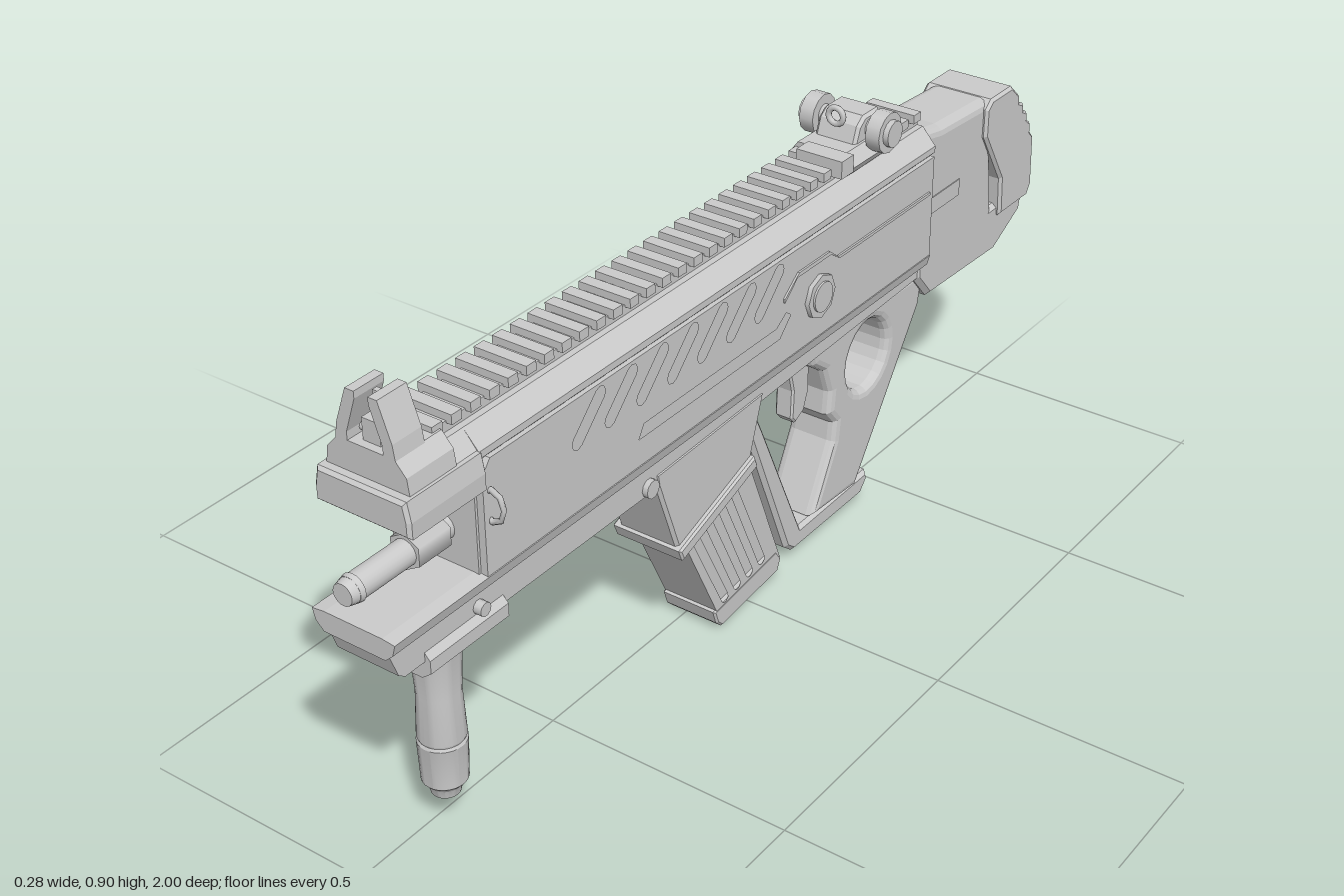
import * as THREE from 'three';
import { toCreasedNormals } from 'three/addons/utils/BufferGeometryUtils.js';

const CX = 0.022; // mid-plane of the body

export function createModel() {
  const root = new THREE.Group();
  root.position.x = CX;
  const model = new THREE.Group();
  model.add(root);
  const mat = new THREE.MeshStandardMaterial({ color: 0xcccccc });

  const add = (name, geo) => {
    const m = new THREE.Mesh(geo, mat);
    m.name = name;
    root.add(m);
    return m;
  };
  const box = (name, w, h, d, x, y, z) => {
    const m = add(name, new THREE.BoxGeometry(w, h, d));
    m.position.set(x, y, z);
    return m;
  };
  const extrude = (shape, depth, bevel) => new THREE.ExtrudeGeometry(shape, {
    depth: depth - 2 * bevel, bevelEnabled: bevel > 0, bevelThickness: bevel,
    bevelSize: bevel, bevelOffset: -bevel, bevelSegments: bevel > 0.015 ? 3 : 1,
  }).translate(0, 0, bevel);
  // Side profile of [z, y] points, from x0 to x1
  const side = (name, pts, x0, x1, { bevel = 0, holes = [] } = {}) => {
    const v = (list) => list.map(([z, y]) => new THREE.Vector2(-z, y));
    const s = new THREE.Shape(v(pts));
    holes.forEach((h) => s.holes.push(new THREE.Path(v(h))));
    return add(name, extrude(s, x1 - x0, bevel).rotateY(Math.PI / 2).translate(x0, 0, 0));
  };
  // Front profile of [x, y] points, from z0 to z1
  const front = (name, pts, z0, z1, bevel = 0) =>
    add(name, extrude(new THREE.Shape(pts.map((p) => new THREE.Vector2(...p))), z1 - z0, bevel).translate(0, 0, z0));
  const mirrored = (half) => [...half, ...half.map(([x, y]) => [-x, y]).reverse()];
  const rodZ = (name, r0, r1, z0, z1, y, n = 20, x = 0) => {
    const m = add(name, new THREE.CylinderGeometry(r1, r0, z1 - z0, n).rotateX(Math.PI / 2));
    m.position.set(x, y, (z0 + z1) / 2);
    return m;
  };
  const rodX = (name, r, len, x, y, z, n = 20) => {
    const m = add(name, new THREE.CylinderGeometry(r, r, len, n).rotateZ(Math.PI / 2));
    m.position.set(x, y, z);
    return m;
  };
  // Rounded slot outline between two [z, y] points
  const slot = ([z0, y0], [z1, y1], r) => {
    const a = Math.atan2(y1 - y0, z1 - z0), out = [];
    for (let i = 0; i < 10; i++) {
      const first = i < 5, t = a + Math.PI / 2 + ((first ? i : i - 1) / 4) * Math.PI;
      out.push([(first ? z0 : z1) + r * Math.cos(t), (first ? y0 : y1) + r * Math.sin(t)]);
    }
    return out;
  };

  // Body core with chamfered top
  front('body', mirrored([[0.07, 0.5], [0.07, 0.72], [0.085, 0.735], [0.085, 0.748], [0.055, 0.782]]), -0.575, 0.77);
  front('bodyTopFront', mirrored([[0.08, 0.7], [0.083, 0.748], [0.055, 0.782]]), 0.77, 0.85);

  // Side panels with slanted vents and a long groove
  const vents = [];
  for (let i = 0; i < 7; i++) {
    const z = 0.5 - i * 0.086;
    vents.push(slot([z + 0.032, 0.643], [z - 0.03, 0.705], 0.014));
  }
  const panel = [[0.765, 0.505], [0.765, 0.7], [0.745, 0.725], [-0.575, 0.725], [-0.575, 0.505]];
  const groove = [[0.37, 0.565], [0.355, 0.59], [-0.04, 0.59], [-0.07, 0.61], [-0.085, 0.6], [-0.05, 0.565]];
  for (const s of [-1, 1]) {
    side('sidePanel', panel, s > 0 ? 0.068 : -0.084, s > 0 ? 0.084 : -0.068, { holes: [...vents, groove] });
    rodX('pivotCollar', 0.044, 0.012, s * 0.087, 0.6, -0.175, 8);
    rodX('pivotButton', 0.03, 0.018, s * 0.088, 0.6, -0.175);
    side('panelTrim', [[-0.06, 0.635], [-0.1, 0.67], [-0.21, 0.67], [-0.24, 0.65], [-0.56, 0.65], [-0.56, 0.656],
      [-0.235, 0.656], [-0.205, 0.678], [-0.105, 0.678], [-0.06, 0.643]], s > 0 ? 0.083 : -0.088, s > 0 ? 0.088 : -0.083);
    box('rearInset', 0.006, 0.035, 0.13, s * 0.067, 0.605, -0.64);
    const ring = add('slingLoop', new THREE.TorusGeometry(0.024, 0.005, 6, 8));
    ring.scale.y = 1.25;
    ring.position.set(s * 0.088, 0.64, 0.75);
  }

  // Top rail
  box('topRail', 0.085, 0.022, 1.42, 0, 0.79, 0.135);
  for (let i = 0; i < 32; i++) box('topRailTooth', 0.108, 0.018, 0.024, 0, 0.806, 0.825 - i * 0.0445);

  // Front cap and iron sight
  front('frontCap', mirrored([[0.097, 0.685], [0.097, 0.715], [0.09, 0.75]]), 0.765, 0.945, 0.006);
  front('frontSightBase', mirrored([[0.085, 0.745], [0.08, 0.78], [0.058, 0.805]]), 0.82, 0.925);
  for (const s of [-1, 1])
    front('frontSightEar', [[0.062, 0.79], [0.056, 0.83], [0.032, 0.898], [0.014, 0.898], [0.014, 0.885], [0.036, 0.82], [0.036, 0.79]]
      .map(([x, y]) => [s * x, y]), 0.86, 0.925);
  box('frontSightBlock', 0.036, 0.05, 0.04, 0, 0.82, 0.89);
  rodX('frontSightPin', 0.008, 0.11, 0, 0.815, 0.89, 10);
  box('frontSightPost', 0.01, 0.06, 0.01, 0, 0.86, 0.89);

  // Rear sight
  front('rearSightBase', mirrored([[0.06, 0.785], [0.068, 0.8], [0.05, 0.825]]), -0.46, -0.3);
  box('rearSightLatch', 0.1, 0.035, 0.04, 0.02, 0.812, -0.285);
  side('rearSightBody', [[-0.34, 0.815], [-0.36, 0.87], [-0.38, 0.885], [-0.43, 0.885], [-0.445, 0.86], [-0.445, 0.815]], -0.045, 0.045, { bevel: 0.006 })
    .scale.y = 0.985;
  rodX('rearSightAxle', 0.02, 0.18, 0, 0.842, -0.4);
  for (const s of [-1, 1]) {
    rodX('rearSightKnob', 0.04, 0.03, s * 0.073, 0.842, -0.4, 12);
    rodX('rearSightKnobCap', 0.026, 0.018, s * 0.09, 0.842, -0.4, 12);
  }
  const aperture = add('rearSightAperture', new THREE.TorusGeometry(0.016, 0.006, 8, 16));
  aperture.position.set(0, 0.872, -0.35);

  // Barrel, gas plug and front plate bosses
  rodZ('barrel', 0.024, 0.024, 0.76, 0.985, 0.58);
  rodZ('muzzle', 0.026, 0.02, 0.975, 1, 0.58);
  rodZ('barrelCollar', 0.034, 0.034, 0.785, 0.86, 0.58, 6);
  rodZ('gasPlug', 0.02, 0.02, 0.76, 0.86, 0.652, 12);
  for (const [x, y] of [[-0.024, 0.652], [0.024, 0.652], [0, 0.638]]) rodZ('plateBoss', 0.021, 0.021, 0.765, 0.785, y, 16, x);

  // Lower handguard and shelf
  front('lowerShelf', mirrored([[0.064, 0.475], [0.08, 0.49], [0.086, 0.512], [0.06, 0.515]]), -0.575, 0.985);
  side('lowerHandguard', [[0.985, 0.5], [0.96, 0.43], [0.945, 0.42], [0.3, 0.42], [-0.02, 0.44], [-0.575, 0.458], [-0.575, 0.5]], -0.064, 0.064);
  for (let i = 0; i < 9; i++) box('lowerRailTooth', 0.09, 0.02, 0.024, 0, 0.412, 0.68 - i * 0.0405);
  rodX('handguardPin', 0.018, 0.15, 0, 0.435, 0.32, 10);

  // Side rail
  box('sideRail', 0.02, 0.075, 0.38, -0.092, 0.55, 0.57);
  for (let i = 0; i < 9; i++)
    front('sideRailTooth', [[-0.095, 0.495], [-0.108, 0.492], [-0.122, 0.505], [-0.122, 0.59], [-0.108, 0.6], [-0.095, 0.597]],
      0.735 - i * 0.0435, 0.76 - i * 0.0435);

  // Charging handle
  front('chargingHandle', [[-0.08, 0.602], [-0.132, 0.602], [-0.162, 0.568], [-0.162, 0.545], [-0.137, 0.545], [-0.117, 0.568], [-0.08, 0.568]], -0.145, -0.075, 0.004);
  box('chargingHandleSlide', 0.02, 0.08, 0.16, -0.088, 0.56, -0.15);

  // Foregrip with its clamp
  front('foregripMount', mirrored([[0.055, 0.385], [0.075, 0.4], [0.075, 0.425], [0.06, 0.442]]), 0.71, 0.9);
  rodX('foregripScrew', 0.013, 0.17, -0.005, 0.45, 0.77, 10);
  const gripProfile = [[0, 0.066], [0.026, 0.068], [0.03, 0.085], [0.041, 0.098], [0.044, 0.18], [0.041, 0.185], [0.043, 0.19],
    [0.039, 0.28], [0.043, 0.36], [0.048, 0.39], [0, 0.39]].map((p) => new THREE.Vector2(...p));
  add('foregrip', toCreasedNormals(new THREE.LatheGeometry(gripProfile, 28), 0.5)).position.z = 0.808;

  // Magazine well and magazine
  side('magazineWell', [[0.3, 0.45], [0.295, 0.42], [0.235, 0.25], [0.01, 0.335], [-0.03, 0.46]], -0.066, 0.066, { bevel: 0.006 });
  side('magazineWellLip', [[0.247, 0.262], [0.237, 0.237], [0.002, 0.318], [0.012, 0.343]], -0.077, 0.077, { bevel: 0.004 });
  const magazine = [[0.22, 0.27], [0.015, 0.335], [-0.1, 0.045], [-0.09, 0.022], [0.09, 0.004], [0.1, 0.02]];
  side('magazineCore', magazine, -0.048, 0.048);
  const magSlots = [];
  for (let i = 0; i < 4; i++)
    magSlots.push(slot([0.175 - i * 0.04, 0.24 + i * 0.013], [0.085 - i * 0.04, 0.06 + i * 0.006], 0.01));
  for (const s of [-1, 1])
    side('magazineSide', magazine, s > 0 ? 0.046 : -0.06, s > 0 ? 0.06 : -0.046, { holes: magSlots });
  side('magazineFloor', [[0.12, 0.045], [-0.085, 0.07], [-0.103, 0.045], [-0.09, 0.02], [0.095, 0], [0.11, 0.015]], -0.061, 0.061, { bevel: 0.004 });

  // Hand guard, trigger and thumbhole grip
  side('handGuard', [[0.005, 0.46], [0, 0.385], [-0.14, 0.04], [-0.165, 0.02], [-0.41, 0.022], [-0.435, 0.05], [-0.43, 0.07],
    [-0.19, 0.065], [-0.055, 0.36], [-0.04, 0.39], [-0.04, 0.46]], -0.048, 0.048, { bevel: 0.008 });
  side('trigger', [[-0.18, 0.42], [-0.195, 0.36], [-0.192, 0.3], [-0.205, 0.285], [-0.235, 0.3], [-0.25, 0.34], [-0.25, 0.42]], -0.02, 0.02, { bevel: 0.004 });
  const thumbhole = [];
  for (let i = 0; i < 20; i++) {
    const a = (i / 20) * Math.PI * 2;
    thumbhole.push([-0.407 + 0.072 * Math.cos(a), 0.352 + 0.074 * Math.sin(a)]);
  }
  side('grip', [[-0.2, 0.46], [-0.215, 0.415], [-0.255, 0.385], [-0.275, 0.33], [-0.27, 0.28], [-0.295, 0.25], [-0.29, 0.21], [-0.22, 0.07], [-0.38, 0.06],
    [-0.6, 0.38], [-0.615, 0.46]], -0.055, 0.055, { bevel: 0.018, holes: [thumbhole] });

  // Stock and stepped butt pad
  side('stock', [[-0.57, 0.775], [-0.63, 0.765], [-0.82, 0.755], [-0.86, 0.45], [-0.57, 0.45]], -0.068, 0.068, { bevel: 0.02 });
  side('stockLower', [[-0.56, 0.5], [-0.56, 0.455], [-0.61, 0.398], [-0.87, 0.39], [-0.975, 0.445], [-0.985, 0.5]], -0.068, 0.068, { bevel: 0.01 });
  side('buttPad', [[-0.79, 0.74], [-0.81, 0.757], [-0.89, 0.757], [-0.925, 0.725], [-0.925, 0.71], [-0.945, 0.7], [-0.945, 0.685], [-0.963, 0.675],
    [-0.963, 0.658], [-0.98, 0.645], [-0.98, 0.625], [-0.995, 0.61], [-1, 0.5], [-0.985, 0.475], [-0.87, 0.475], [-0.865, 0.56], [-0.79, 0.68]],
  -0.077, 0.077, { bevel: 0.006 });

  return model;
}
